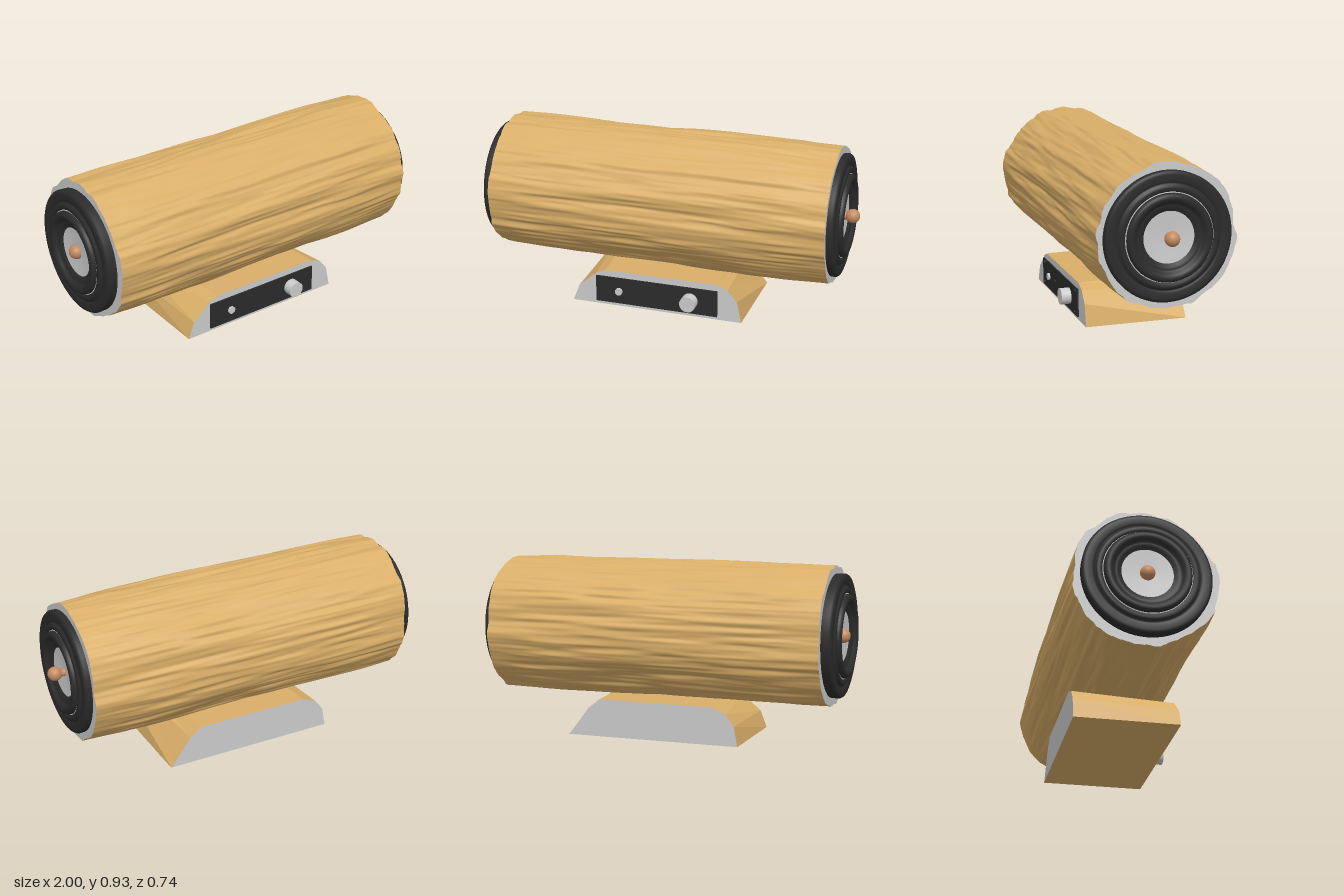
import * as THREE from 'three';

const mat = (color, extra = {}) => new THREE.MeshStandardMaterial({ color, ...extra });
const wood = mat(0xd9ae68);
const woodFlat = mat(0xd9ae68, { flatShading: true });
const grey = mat(0xcccccc);
const black = mat(0x2b2b2b);
const copper = mat(0xc48a60);

const AXIS_Y = 0.56, LEFT = -0.92, RIGHT = 0.89;

function add(parent, name, geometry, material, x = 0, y = 0, z = 0) {
  const mesh = new THREE.Mesh(geometry, material);
  mesh.name = name;
  mesh.position.set(x, y, z);
  parent.add(mesh);
  return mesh;
}

// Seeded value noise, periodic in u (around the log), stretched along v
function hash(i, j, seed) {
  const s = Math.sin(i * 127.1 + j * 311.7 + seed * 74.7) * 43758.5453;
  return s - Math.floor(s);
}
function noise(u, v, nu, nv, seed) {
  const a = u * nu, b = v * nv;
  const i = Math.floor(a), j = Math.floor(b);
  const ease = (t) => t * t * (3 - 2 * t);
  const s = ease(a - i), t = ease(b - j);
  const at = (p, q) => hash(((p % nu) + nu) % nu, q, seed);
  const low = at(i, j) + (at(i + 1, j) - at(i, j)) * s;
  const high = at(i, j + 1) + (at(i + 1, j + 1) - at(i, j + 1)) * s;
  return low + (high - low) * t - 0.5;
}

// Radius of the bark at a given angle and distance along the log
function barkRadius(angle, x) {
  const u = ((angle / (2 * Math.PI)) % 1 + 1) % 1;
  const v = (x - LEFT) / (RIGHT - LEFT);
  const taper = 0.362 - 0.008 * THREE.MathUtils.smoothstep(v, 0.82, 1)
    - 0.004 * (1 - THREE.MathUtils.smoothstep(v, 0, 0.1));
  const rough = 0.4 + 0.6 * Math.min(1, 8 * Math.min(v, 1 - v));
  return taper + 0.022 * noise(u, v, 13, 2, 1) + 0.016 * noise(u, v, 34, 3, 2)
    + rough * (0.013 * noise(u, v, 95, 5, 3) + 0.006 * noise(u, v, 170, 9, 4));
}

// Push every vertex of a shape lying along x out to the bark outline
function shapeToBark(geometry, offset) {
  const p = geometry.attributes.position;
  for (let i = 0; i < p.count; i++) {
    const x = p.getX(i) + offset, y = p.getY(i), z = p.getZ(i);
    const angle = Math.round(Math.atan2(z, y) * 1e5) / 1e5;
    const r = Math.hypot(y, z) * barkRadius(angle, x);
    p.setXYZ(i, x, r * Math.cos(angle), r * Math.sin(angle));
  }
  geometry.computeVertexNormals();
  return geometry;
}

function buildLog() {
  const log = new THREE.Group();
  log.name = 'log';
  log.position.y = AXIS_Y;
  const bark = new THREE.CylinderGeometry(1, 1, RIGHT - LEFT, 400, 48, true);
  bark.rotateZ(-Math.PI / 2);
  add(log, 'bark', shapeToBark(bark, (LEFT + RIGHT) / 2), wood);
  for (const side of [-1, 1]) {
    const cut = new THREE.CircleGeometry(1, 400);
    cut.rotateY(side * Math.PI / 2);
    add(log, 'cutEnd', shapeToBark(cut, side > 0 ? RIGHT : LEFT), grey);
  }
  return log;
}

// Round parts are turned about y, then laid along +x
function turned(points) {
  const g = new THREE.LatheGeometry(points.map(([r, h]) => new THREE.Vector2(r, h)), 72);
  return g.rotateZ(-Math.PI / 2);
}

function buildSpeaker() {
  const speaker = new THREE.Group();
  speaker.name = 'speaker';
  // Outer frame and stepped surround
  add(speaker, 'frame', turned([
    [0.318, -0.02], [0.32, 0.026], [0.314, 0.036], [0.302, 0.04], [0.27, 0.04],
    [0.264, 0.033], [0.257, 0.033], [0.25, 0.044], [0.24, 0.047], [0.225, 0.046], [0.22, 0.038],
  ]), black);
  add(speaker, 'trimRing', turned([[0.221, 0.036], [0.2205, 0.042], [0.216, 0.042], [0.2155, 0.036]]), grey);
  add(speaker, 'surround', turned([
    [0.216, 0.036], [0.215, 0.052], [0.208, 0.063], [0.195, 0.067], [0.181, 0.063],
    [0.171, 0.052], [0.163, 0.043], [0.156, 0.044], [0.145, 0.041], [0.126, 0.03],
  ]), black);
  // Shallow cone with a rounded plug in the middle
  add(speaker, 'cone', turned([[0.128, 0.031], [0.07, 0.026], [0, 0.022]]), grey);
  return speaker;
}

// Pedestal: a loft between slightly different front and back outlines
function buildBase() {
  const base = new THREE.Group();
  base.name = 'base';
  const front = [[-0.485, 0], [-0.45, 0.09], [-0.35, 0.175], [-0.3, 0.198],
    [0.32, 0.198], [0.38, 0.175], [0.43, 0.115], [0.455, 0]];
  const back = [[-0.485, 0], [-0.465, 0.105], [-0.42, 0.165], [-0.34, 0.198],
    [0.28, 0.198], [0.34, 0.15], [0.43, 0.03], [0.455, 0]];
  const n = front.length, half = 0.27;
  const positions = [], index = [];
  for (const [x, y] of front) positions.push(x, y, half);
  for (const [x, y] of back) positions.push(x, y, -half);
  for (let i = 0; i < n; i++) {
    const j = (i + 1) % n;
    index.push(i, j, n + j, i, n + j, n + i);
  }
  const sides = new THREE.BufferGeometry();
  sides.setAttribute('position', new THREE.Float32BufferAttribute(positions, 3));
  sides.setIndex(index);
  sides.computeVertexNormals();
  add(base, 'baseSides', sides, woodFlat);

  const face = (outline, s) => new THREE.ShapeGeometry(
    new THREE.Shape(outline.map(([x, y]) => new THREE.Vector2(s * x, y))));
  add(base, 'baseFront', face(front, 1), grey, 0, 0, half);
  add(base, 'baseBack', face(back, -1).rotateY(Math.PI), grey, 0, 0, -half);
  return base;
}

function buildControls() {
  const controls = new THREE.Group();
  controls.name = 'controls';
  add(controls, 'panel', new THREE.BoxGeometry(0.675, 0.146, 0.012), black, -0.0125, 0.09, 0.272);
  const disc = (name, r, depth, material, x, y) => add(controls, name,
    new THREE.CylinderGeometry(r, r, depth, 32).rotateX(Math.PI / 2), material, x, y, 0.277 + depth / 2);
  disc('volumeKnob', 0.043, 0.053, grey, 0.177, 0.09);
  disc('powerButton', 0.02, 0.012, grey, -0.22, 0.087);
  disc('socket', 0.015, 0.004, black, -0.11, 0.09);
  for (const x of [-0.312, 0.287])
    for (const y of [0.033, 0.147]) disc('screw', 0.009, 0.007, black, x, y);
  return controls;
}

export function createModel() {
  const model = new THREE.Group();
  model.name = 'logSpeaker';
  model.add(buildLog(), buildBase(), buildControls());
  // One speaker at each end, the -x one standing further proud
  for (const [side, x] of [[1, 0.887], [-1, -0.933]]) {
    const speaker = buildSpeaker();
    speaker.position.set(x, AXIS_Y, 0);
    if (side < 0) speaker.rotation.y = Math.PI;
    model.add(speaker);
    add(model, 'phasePlug', new THREE.SphereGeometry(0.037, 32, 20), copper, side * 0.963, AXIS_Y + 0.002, 0);
    add(model, 'plugStem', new THREE.CylinderGeometry(0.02, 0.02, 0.06, 24).rotateZ(Math.PI / 2),
      copper, side * 0.925, AXIS_Y, 0);
  }
  return model;
}
